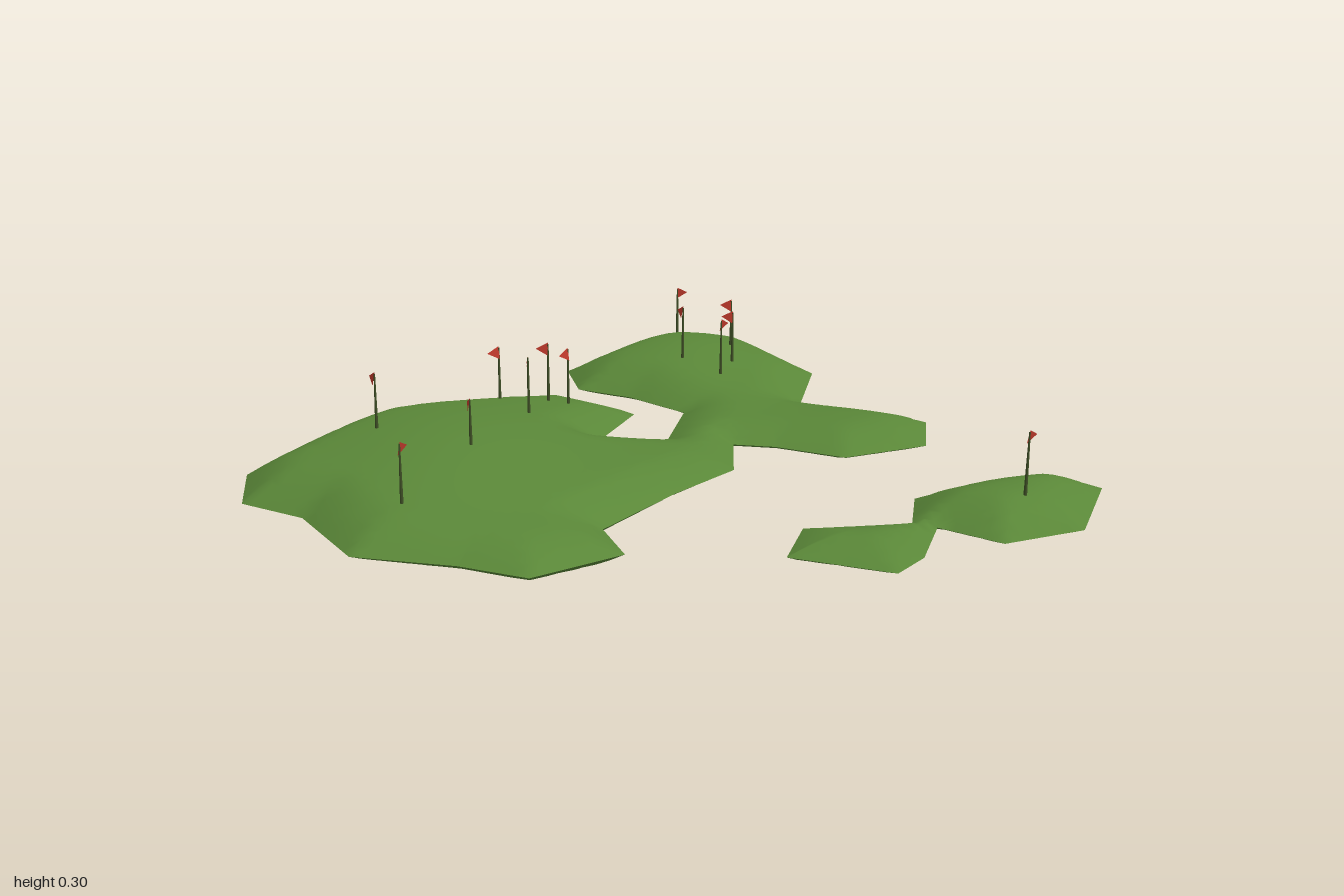
import * as THREE from 'three';
import { mergeVertices } from 'three/addons/utils/BufferGeometryUtils.js';

const grass = new THREE.MeshStandardMaterial({ color: 0x5a8738 });
grass.name = 'grass green';
const pole = new THREE.MeshStandardMaterial({ color: 0x3f4f26 });
pole.name = 'dark pole';
const red = new THREE.MeshStandardMaterial({ color: 0xc23a2c, side: THREE.DoubleSide });
red.name = 'flag red';

// Coastlines as [x, z] corners
const mainCoast = [
  [-0.95, -0.25], [-0.79, -0.35], [-0.57, -0.485], [-0.36, -0.52], [-0.18, -0.555], [0.01, -0.545],
  [0.15, -0.33], [-0.03, -0.15], [0.14, -0.08], [0.285, -0.29], [0.2, -0.48], [0.09, -0.61],
  [0.125, -0.795], [0.49, -0.935], [0.75, -0.815], [0.8, -0.49], [0.625, -0.235], [0.87, 0.045],
  [0.765, 0.215], [0.52, 0.215], [0.39, 0.07], [0.295, 0.01], [0.21, 0.19], [0, 0.29],
  [-0.25, 0.44], [-0.26, 0.6], [-0.505, 0.645], [-0.63, 0.52], [-0.84, 0.375], [-0.885, 0.1], [-1, -0.05],
];
const smallCoast = [
  [0.07, 0.755], [0.185, 0.615], [0.435, 0.69], [0.53, 0.545], [0.9, 0.53], [1, 0.66],
  [0.79, 0.875], [0.57, 0.875], [0.48, 0.73], [0.355, 0.875], [0.255, 0.93],
];

// Hills: x, z, height, radius
const hills = [
  [-0.5, -0.2, 0.07, 0.42], [-0.55, 0.15, 0.025, 0.3],
  [0.45, -0.67, 0.065, 0.28], [0.68, 0.05, 0.015, 0.2], [0.7, 0.72, 0.035, 0.25],
];
const RIM = 0.045;
const bump = (x, z, cx, cz, r) => Math.exp(-((x - cx) ** 2 + (z - cz) ** 2) / (r * r));
const hillHeight = (x, z) => hills.reduce((h, [cx, cz, a, r]) => h + a * bump(x, z, cx, cz, r), 0.08);
const floorHeight = (x, z) => 0.018 - 0.018 * bump(x, z, -0.3, 0.4, 0.4);

// Distance from a point to the nearest stretch of coast
function coastDistance(coast, x, z) {
  let best = Infinity;
  coast.forEach(([ax, az], i) => {
    const [bx, bz] = coast[(i + 1) % coast.length];
    const dx = bx - ax, dz = bz - az;
    const t = THREE.MathUtils.clamp(((x - ax) * dx + (z - az) * dz) / (dx * dx + dz * dz), 0, 1);
    best = Math.min(best, Math.hypot(x - ax - t * dx, z - az - t * dz));
  });
  return best;
}
const ease = (d, width) => {
  const t = Math.min(d / width, 1);
  return t * (2 - t);
};
function topY(coast, x, z) {
  return RIM + (hillHeight(x, z) - RIM) * ease(coastDistance(coast, x, z), 0.15);
}
function bottomY(coast, x, z) {
  return RIM + (floorHeight(x, z) - RIM) * ease(coastDistance(coast, x, z), 0.1);
}

// Fill a coastline with small triangles by halving every long edge
function fillCoast(coast) {
  const points = coast.map(([x, z]) => new THREE.Vector2(x, z));
  const out = [];
  const split = (a, b, c) => {
    const ab = a.distanceTo(b), bc = b.distanceTo(c), ca = c.distanceTo(a);
    const longest = Math.max(ab, bc, ca);
    if (longest < 0.045) {
      out.push([a, b, c]);
      return;
    }
    if (longest === bc) [a, b, c] = [b, c, a];
    else if (longest === ca) [a, b, c] = [c, a, b];
    const m = a.clone().add(b).multiplyScalar(0.5);
    split(a, m, c);
    split(m, b, c);
  };
  THREE.ShapeUtils.triangulateShape(points, []).forEach((f) => {
    let [a, b, c] = f.map((i) => points[i]);
    const up = (b.y - a.y) * (c.x - a.x) - (b.x - a.x) * (c.y - a.y);
    if (up < 0) [b, c] = [c, b];
    split(a, b, c);
  });
  return out;
}

function surface(triangles, coast, heightAt, flip) {
  const pos = [];
  triangles.forEach(([a, b, c]) => {
    (flip ? [a, c, b] : [a, b, c]).forEach((p) => pos.push(p.x, heightAt(coast, p.x, p.y), p.y));
  });
  const raw = new THREE.BufferGeometry();
  raw.setAttribute('position', new THREE.Float32BufferAttribute(pos, 3));
  const geo = mergeVertices(raw, 1e-5);
  geo.computeVertexNormals();
  return geo;
}

function island(name, coast) {
  const group = new THREE.Group();
  group.name = name;
  const triangles = fillCoast(coast);
  const top = new THREE.Mesh(surface(triangles, coast, topY, false), grass);
  top.name = 'hillTop';
  const bottom = new THREE.Mesh(surface(triangles, coast, bottomY, true), grass);
  bottom.name = 'underside';
  group.add(top, bottom);
  return group;
}

// Flags: x, z, tip height, heading of the cloth in degrees
const flags = [
  [-0.685, 0.27, 0.26, 40], [-0.625, -0.18, 0.295, 95], [-0.44, 0.03, 0.265, 80],
  [-0.22, -0.405, 0.26, 180], [-0.195, -0.235, 0.275, 70], [-0.09, -0.37, 0.265, 150],
  [-0.045, -0.335, 0.255, 200], [0.39, -0.535, 0.28, 90], [0.455, -0.41, 0.265, 25],
  [0.49, -0.8, 0.265, 0], [0.525, -0.48, 0.265, 140], [0.58, -0.605, 0.265, 145],
  [0.695, 0.765, 0.265, 20],
];

function flag([x, z, tip, heading], coast) {
  const group = new THREE.Group();
  group.name = 'flag';
  const base = topY(coast, x, z) - 0.01;
  const mast = new THREE.Mesh(new THREE.CylinderGeometry(0.002, 0.0045, tip - base, 6), pole);
  mast.name = 'flagPole';
  mast.position.y = (tip + base) / 2;
  // Triangular pennant, leaning slightly
  const pennant = new THREE.Shape([
    new THREE.Vector2(0, 0.005), new THREE.Vector2(0, -0.031), new THREE.Vector2(0.034, -0.013),
  ]);
  const cloth = new THREE.Mesh(new THREE.ShapeGeometry(pennant), red);
  cloth.name = 'pennant';
  cloth.position.y = tip;
  cloth.rotation.set(0.2, THREE.MathUtils.degToRad(heading), 0, 'YXZ');
  group.add(mast, cloth);
  group.position.set(x, 0, z);
  return group;
}

export function createModel() {
  const model = new THREE.Group();
  model.name = 'islandsWithFlags';
  model.add(island('mainIsland', mainCoast), island('smallIsland', smallCoast));
  flags.forEach((f) => model.add(flag(f, f[1] > 0.5 ? smallCoast : mainCoast)));
  return model;
}
